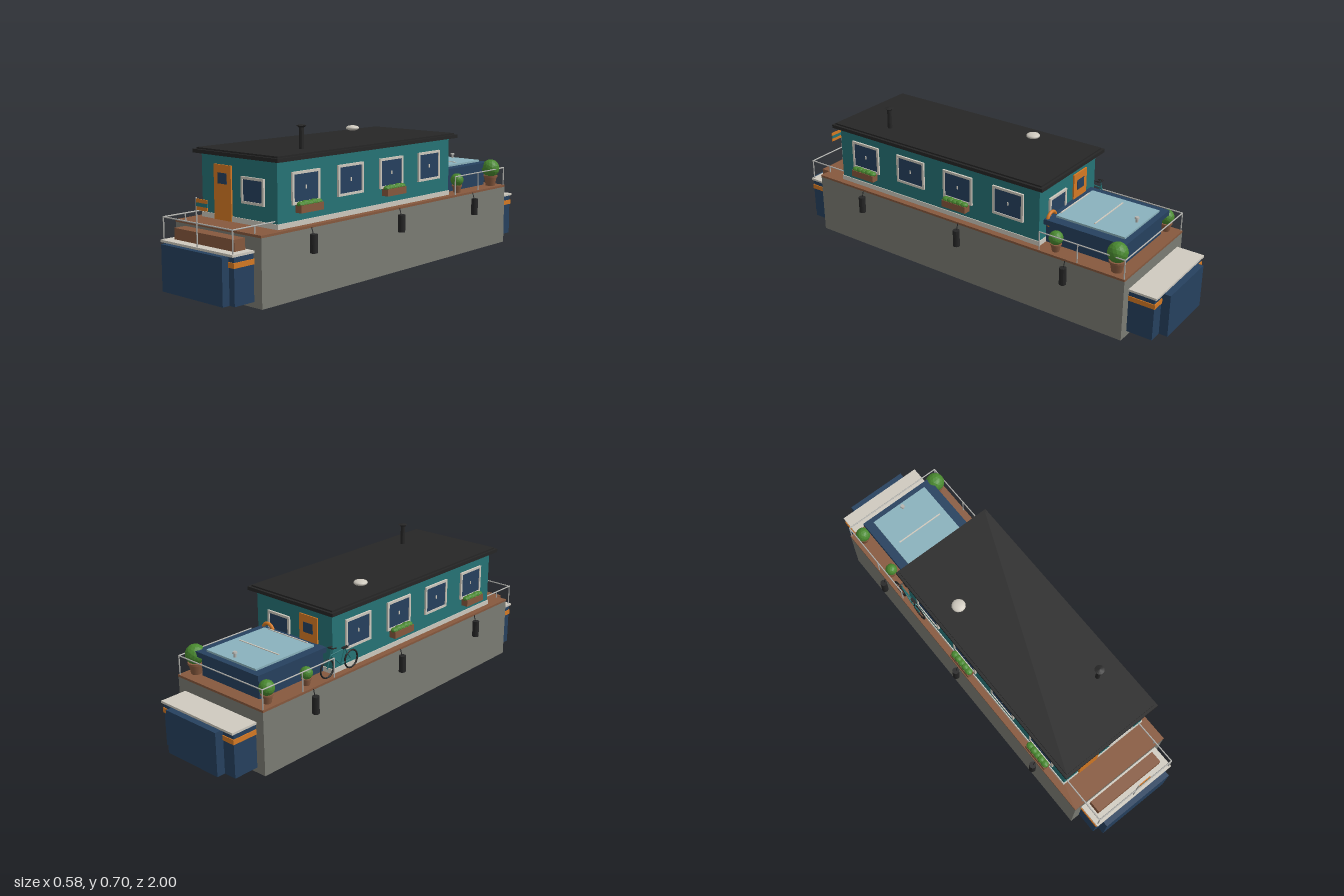
import * as THREE from 'three';

const mat = (name, color, extra = {}) => Object.assign(new THREE.MeshStandardMaterial({ color, ...extra }), { name });

export function createModel() {
  const teal = mat('teal wall', 0x267476), orange = mat('orange paint', 0xd67a24), white = mat('off-white trim', 0xcfcabf);
  const navy = mat('navy paint', 0x26415f), grey = mat('grey hull', 0x7b7c74), brown = mat('brown wood', 0x87593e);
  const black = mat('black', 0x262626), green = mat('leaf green', 0x4a8a30), glass = mat('pale glass', 0x8ab2bd);
  const steel = mat('steel rail', 0xb4b4b0);
  for (const m of [green, black]) m.flatShading = true;

  const model = new THREE.Group();
  model.name = 'houseboat';
  const add = (name, geo, material, x = 0, y = 0, z = 0, parent = model) => {
    const m = new THREE.Mesh(geo, material);
    m.name = name;
    m.position.set(x, y, z);
    parent.add(m);
    return m;
  };
  const group = (name, x = 0, y = 0, z = 0, ry = 0) => {
    const g = new THREE.Group();
    g.name = name;
    g.position.set(x, y, z);
    g.rotation.y = ry;
    model.add(g);
    return g;
  };
  // box given by its limits on each axis
  const box = (name, material, [x0, x1], [y0, y1], [z0, z1], parent = model) =>
    add(name, new THREE.BoxGeometry(x1 - x0, y1 - y0, z1 - z0), material,
      (x0 + x1) / 2, (y0 + y1) / 2, (z0 + z1) / 2, parent);
  const UP = new THREE.Vector3(0, 1, 0);
  // round bar between two points
  const bar = (name, material, a, b, r, parent = model) => {
    const p = new THREE.Vector3(...a), d = new THREE.Vector3(...b).sub(p);
    const m = add(name, new THREE.CylinderGeometry(r, r, d.length(), 8), material, 0, 0, 0, parent);
    m.position.copy(p).addScaledVector(d, 0.5);
    m.quaternion.setFromUnitVectors(UP, d.normalize());
    return m;
  };

  // hull and deck
  box('hull', grey, [-0.26, 0.26], [0, 0.286], [-0.84, 0.862]);
  box('deck', brown, [-0.261, 0.261], [0.286, 0.296], [-0.841, 0.863]);

  // stepped end blocks with painted bands and a pale cap
  const endBlock = (name, zIn, zWing, zOut, half) => {
    const g = group(name), s = Math.sign(zOut);
    const span = (a, b) => (s > 0 ? [a, b] : [b, a]);
    box('wings', navy, [-0.215, 0.215], [0.024, 0.222], span(zIn, zWing), g);
    box('centreBlock', navy, [-half, half], [0.024, 0.222], span(zIn, zOut), g);
    for (const [a, b] of [[half, 0.219], [-0.219, -half]])
      box('orangeBand', orange, [a, b], [0.177, 0.199], span(zIn, zWing + s * 0.004), g);
    box('cap', white, [-0.22, 0.22], [0.222, 0.232], span(zIn, zWing + s * 0.01), g);
  };
  endBlock('bow', 0.86, 0.965, 1.0, 0.185);
  endBlock('stern', -0.838, -0.96, -1.0, 0.153);
  box('bowBench', brown, [-0.182, 0.182], [0.232, 0.28], [0.875, 0.932]);

  // cabin and roof
  box('cabin', teal, [-0.227, 0.227], [0.296, 0.572], [-0.4, 0.74]);
  box('cabinSkirting', white, [-0.231, 0.231], [0.296, 0.318], [-0.404, 0.744]);
  box('roofSlab', black, [-0.256, 0.256], [0.57, 0.586], [-0.43, 0.766]);
  box('roofTop', black, [-0.244, 0.244], [0.586, 0.593], [-0.418, 0.754]);

  // framed window facing local +z
  const rectPoints = (w, h) => [[-w, -h], [w, -h], [w, h], [-w, h]].map(([x, y]) => new THREE.Vector2(x / 2, y / 2));
  const frameGeo = (w, h, t, d) => {
    const s = new THREE.Shape(rectPoints(w, h));
    s.holes.push(new THREE.Path(rectPoints(w - 2 * t, h - 2 * t).reverse()));
    return new THREE.ExtrudeGeometry(s, { depth: d, bevelEnabled: false });
  };
  const windowAt = (w, h, x, y, z, ry, catchOn) => {
    const g = group('window', x, y, z, ry);
    add('windowFrame', frameGeo(w, h, 0.011, 0.009), white, 0, 0, 0, g);
    add('windowPane', new THREE.BoxGeometry(w - 0.02, h - 0.02, 0.006), navy, 0, 0, 0.002, g);
    if (catchOn) add('windowCatch', new THREE.BoxGeometry(0.005, 0.016, 0.004), white, 0, 0, 0.006, g);
  };
  // planter box with low foliage
  const planter = (x, z) => {
    const g = group('flowerBox', x, 0, z);
    box('planterBox', brown, [-0.017, 0.017], [0.354, 0.386], [-0.066, 0.066], g);
    for (let i = 0; i < 5; i++) {
      const leaf = add('foliage', new THREE.IcosahedronGeometry(0.02, 1), green, 0, 0.388, -0.05 + i * 0.025, g);
      leaf.scale.set(0.85, i % 2 ? 0.75 : 0.6, 1);
    }
  };
  for (const s of [-1, 1]) {
    for (const z of [0.582, 0.308, 0.035, -0.24]) windowAt(0.162, 0.135, s * 0.227, 0.453, z, s * Math.PI / 2, true);
    for (const z of [0.58, 0.035]) planter(s * 0.25, z);
    // hanging fenders
    for (const z of [0.583, 0.013, -0.555]) {
      add('fender', new THREE.CylinderGeometry(0.016, 0.016, 0.079, 14), black, s * 0.275, 0.2225, z);
      bar('fenderRope', black, [s * 0.263, 0.29, z], [s * 0.272, 0.26, z], 0.002);
    }
  }

  // doors and windows on both cabin ends
  for (const [z, s] of [[0.74, 1], [-0.4, -1]]) {
    windowAt(0.134, 0.112, 0.089, 0.438, z, s > 0 ? 0 : Math.PI, false);
    add('door', new THREE.BoxGeometry(0.106, 0.234, 0.014), orange, -0.092, 0.413, z);
    add('doorPane', new THREE.BoxGeometry(0.056, 0.046, 0.006), navy, -0.092, 0.473, z + s * 0.006);
  }
  add('lifeRing', new THREE.TorusGeometry(0.032, 0.008, 8, 24), orange, 0.15, 0.4, -0.413);

  // chimney and roof ventilator
  const chimney = group('chimney', 0.135, 0, 0.507);
  add('stack', new THREE.CylinderGeometry(0.01, 0.011, 0.096, 14), black, 0, 0.638, 0, chimney);
  add('stackCollar', new THREE.CylinderGeometry(0.022, 0.012, 0.008, 14), black, 0, 0.687, 0, chimney);
  add('stackTop', new THREE.ConeGeometry(0.022, 0.005, 14), black, 0, 0.6935, 0, chimney);
  const vent = add('roofVentilator', new THREE.SphereGeometry(0.032, 16, 10), white, -0.138, 0.615, -0.12);
  vent.scale.y = 0.4;

  // glazed hatch on the stern deck
  const hatch = group('sternHatch');
  box('hatchBase', navy, [-0.175, 0.175], [0.296, 0.39], [-0.778, -0.402], hatch);
  box('hatchLid', navy, [-0.195, 0.195], [0.388, 0.412], [-0.8, -0.402], hatch);
  box('hatchGlass', glass, [-0.153, 0.149], [0.412, 0.421], [-0.772, -0.435], hatch);
  for (const z of [-0.61, -0.44]) box('hatchBar', white, [-0.12, 0.12], [0.42, 0.424], [z - 0.003, z + 0.003], hatch);
  add('hatchVentStem', new THREE.CylinderGeometry(0.006, 0.006, 0.02, 10), steel, 0, 0.43, -0.745, hatch);
  add('hatchVentCap', new THREE.CylinderGeometry(0.009, 0.011, 0.007, 12), steel, 0, 0.442, -0.745, hatch);

  // bow railing
  const bowRail = group('bowRailing');
  bar('frontRail', steel, [-0.211, 0.327, 0.965], [0.211, 0.327, 0.965], 0.0032, bowRail);
  for (const s of [-1, 1]) {
    const x = s * 0.21;
    bar('sideRail', steel, [x, 0.327, 0.967], [x, 0.327, 0.74], 0.0032, bowRail);
    bar('railPost', steel, [x, 0.23, 0.965], [x, 0.33, 0.965], 0.003, bowRail);
    bar('railPost', steel, [x, 0.296, 0.85], [x, 0.327, 0.85], 0.003, bowRail);
  }

  // stern railing
  const sternRail = group('sternRailing');
  bar('backRail', steel, [-0.255, 0.383, -0.835], [0.255, 0.383, -0.835], 0.003, sternRail);
  for (const s of [-1, 1]) {
    const x = s * 0.255;
    bar('sideRail', steel, [x, 0.383, -0.837], [x, 0.383, -0.42], 0.003, sternRail);
    for (const z of [-0.835, -0.61, -0.42]) bar('railPost', steel, [x, 0.296, z], [x, 0.385, z], 0.003, sternRail);
  }

  // flag at the bow
  const flag = group('flag', 0, 0, 0.965);
  bar('flagPole', steel, [0, 0.232, 0], [0, 0.432, 0], 0.003, flag);
  [orange, teal, orange].forEach((m, i) =>
    box('flagStripe', m, [0.002, 0.067], [0.382 + i * 0.015, 0.397 + i * 0.015], [-0.002, 0.002], flag));

  // potted shrubs
  for (const [x, z, r] of [[0.215, -0.778, 0.045], [-0.22, -0.778, 0.034], [-0.22, -0.552, 0.028], [0.22, -0.482, 0.032]]) {
    const g = group('pottedShrub', x, 0.296, z);
    add('pot', new THREE.CylinderGeometry(r * 0.72, r * 0.52, r * 1.1, 14), brown, 0, r * 0.55, 0, g);
    add('potRim', new THREE.CylinderGeometry(r * 0.8, r * 0.8, r * 0.2, 14), brown, 0, r * 1.05, 0, g);
    add('shrub', new THREE.IcosahedronGeometry(r, 2), green, 0, r * 1.95, 0, g);
  }

  // bicycle leaning on the side of the cabin
  const bike = group('bicycle', -0.243, 0.296, 0);
  const wheelR = 0.044, back = -0.3, front = -0.45;
  for (const z of [back, front]) {
    const wheel = add('tyre', new THREE.TorusGeometry(wheelR - 0.004, 0.004, 6, 24), black, 0, wheelR, z, bike);
    wheel.rotation.y = Math.PI / 2;
  }
  const crank = [0, 0.04, -0.365], seat = [0, 0.105, -0.34], head = [0, 0.1, -0.43];
  const hubB = [0, wheelR, back], hubF = [0, wheelR, front];
  for (const [a, b] of [[crank, seat], [crank, head], [seat, head], [crank, hubB], [seat, hubB], [head, hubF]])
    bar('bikeFrame', teal, a, b, 0.003, bike);
  bar('bikeStem', teal, head, [0, 0.133, -0.425], 0.003, bike);
  bar('handlebar', black, [-0.012, 0.133, -0.43], [0.012, 0.133, -0.43], 0.003, bike);
  for (const x of [-0.012, 0.012]) bar('handleGrip', black, [x, 0.133, -0.43], [x, 0.13, -0.405], 0.003, bike);
  box('saddle', black, [-0.006, 0.006], [0.105, 0.112], [-0.355, -0.322], bike);

  return model;
}
